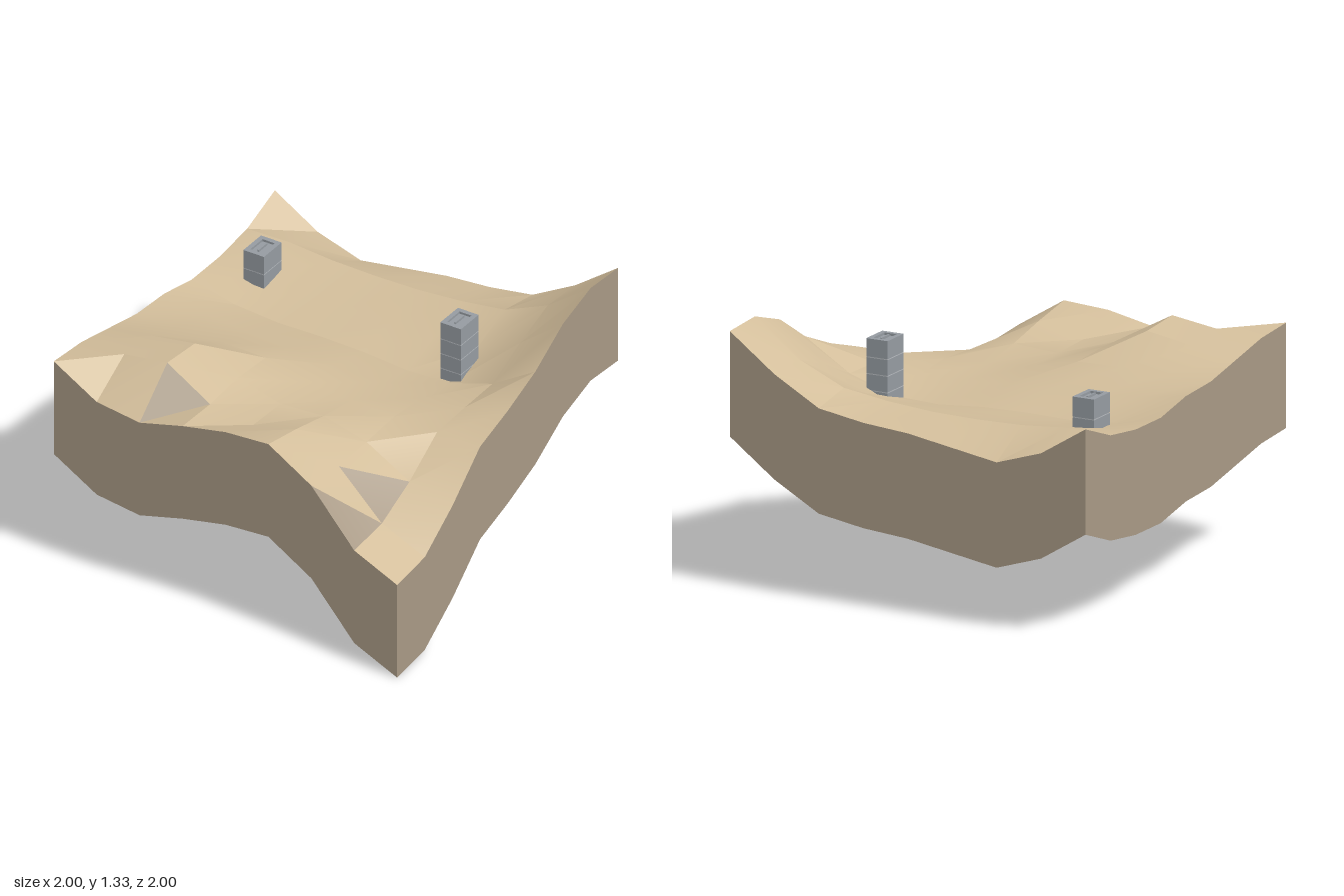
import * as THREE from 'three';
import { toCreasedNormals } from 'three/addons/utils/BufferGeometryUtils.js';

// Ground heights: one row per z from back (-1) to front (1), one column per x from -1 to 1
const H = [
  [1.085, 0.93, 0.85, 0.89, 0.93, 0.95, 0.99, 1.13, 1.315],
  [0.995, 1.0, 0.98, 0.975, 0.98, 1.0, 1.035, 1.145, 1.33],
  [0.965, 0.94, 0.93, 0.925, 0.925, 0.925, 0.945, 1.06, 1.255],
  [0.965, 0.905, 0.885, 0.89, 0.885, 0.865, 0.875, 0.955, 1.11],
  [1.015, 0.98, 0.96, 0.955, 0.94, 0.925, 0.92, 0.95, 1.015],
  [1.03, 1.035, 1.035, 1.03, 0.975, 0.955, 0.945, 0.94, 0.94],
  [1.08, 1.12, 1.16, 1.045, 0.98, 0.995, 0.93, 0.785, 0.73],
  [1.13, 1.145, 1.18, 1.025, 0.99, 1.05, 0.92, 0.675, 0.565],
  [1.15, 1.0, 0.965, 1.03, 1.08, 1.095, 0.94, 0.65, 0.535],
];
const N = 8, STEP = 0.25, SKIRT = 0.535;

const point = (i, j) => new THREE.Vector3(-1 + i * STEP, H[j][i], -1 + j * STEP);

function surface(name, points, material, crease) {
  const geo = new THREE.BufferGeometry().setFromPoints(points);
  const mesh = new THREE.Mesh(toCreasedNormals(geo, crease), material);
  mesh.name = name;
  return mesh;
}

// Grid of triangles; those steeper than 45 degrees become bare rock
function buildGround(sand, rock) {
  const soft = [], steep = [];
  const add = (a, b, c) => {
    const n = new THREE.Triangle(a, b, c).getNormal(new THREE.Vector3());
    (n.y < Math.SQRT1_2 ? steep : soft).push(a, b, c);
  };
  for (let j = 0; j < N; j++) {
    for (let i = 0; i < N; i++) {
      const a = point(i, j), b = point(i, j + 1), c = point(i + 1, j + 1), d = point(i + 1, j);
      add(a, b, d);
      add(b, c, d);
    }
  }
  const group = new THREE.Group();
  group.name = 'ground';
  group.add(surface('sandySurface', soft, sand, 0.36));
  group.add(surface('steepRock', steep, rock, 0.36));
  return group;
}

// Vertical walls of constant depth hanging from the four borders
function buildSkirt(rock) {
  const border = [];
  for (let k = 0; k < N; k++) border.push(point(k, N));
  for (let k = 0; k < N; k++) border.push(point(N, N - k));
  for (let k = 0; k < N; k++) border.push(point(N - k, 0));
  for (let k = 0; k < N; k++) border.push(point(0, k));
  const pts = [];
  border.forEach((a, k) => {
    const b = border[(k + 1) % border.length];
    const a0 = a.clone().setY(a.y - SKIRT), b0 = b.clone().setY(b.y - SKIRT);
    pts.push(a0, b0, b, a0, b, a);
  });
  return surface('cliffSkirt', pts, rock, 0.3);
}

// Stone tower of stacked courses with pale joints, a shallow rim and a short divider
function buildTower(name, x, z, bottom, top, stone, mortar) {
  const group = new THREE.Group();
  group.name = name;
  group.position.set(x, 0, z);
  const W = 0.12, D = 0.16, rim = 0.012, wall = 0.025, joint = 0.005;
  const box = (part, w, h, d, px, py, pz, material = stone) => {
    const mesh = new THREE.Mesh(new THREE.BoxGeometry(w, h, d), material);
    mesh.name = part;
    mesh.position.set(px, py, pz);
    group.add(mesh);
  };
  const body = top - rim - bottom;
  const courses = Math.round(body / 0.08);
  const pitch = body / courses;
  for (let k = 0; k < courses; k++) {
    const y = bottom + k * pitch;
    box('course', W, pitch - joint, D, 0, y + joint + (pitch - joint) / 2, 0);
    box('joint', W - 0.002, joint, D - 0.002, 0, y + joint / 2, 0, k ? mortar : stone);
  }
  const y = top - rim / 2;
  for (const s of [-1, 1]) {
    box('rimSide', wall, rim, D, s * (W - wall) / 2, y, 0);
    box('rimEnd', W - 2 * wall, rim, wall, 0, y, s * (D - wall) / 2);
  }
  box('divider', 0.008, rim, D / 2, 0, y, 0);
  return group;
}

export function createModel() {
  const mat = (name, color, side) => {
    const m = new THREE.MeshStandardMaterial({ color, side });
    m.name = name;
    return m;
  };
  const sand = mat('sand', 0xd3be9b, THREE.DoubleSide);
  const rock = mat('rock', 0xa99a86, THREE.DoubleSide);
  const stone = mat('stone', 0x969ca2, THREE.FrontSide);
  const mortar = mat('mortar', 0xb9bdc1, THREE.FrontSide);

  const model = new THREE.Group();
  model.name = 'terrainWithTowers';
  model.add(buildGround(sand, rock));
  model.add(buildSkirt(rock));
  model.add(buildTower('leftTower', 0.5, -0.34, 0.85, 1.2, stone, mortar));
  model.add(buildTower('rightTower', -0.75, -0.5, 0.91, 1.11, stone, mortar));
  return model;
}
